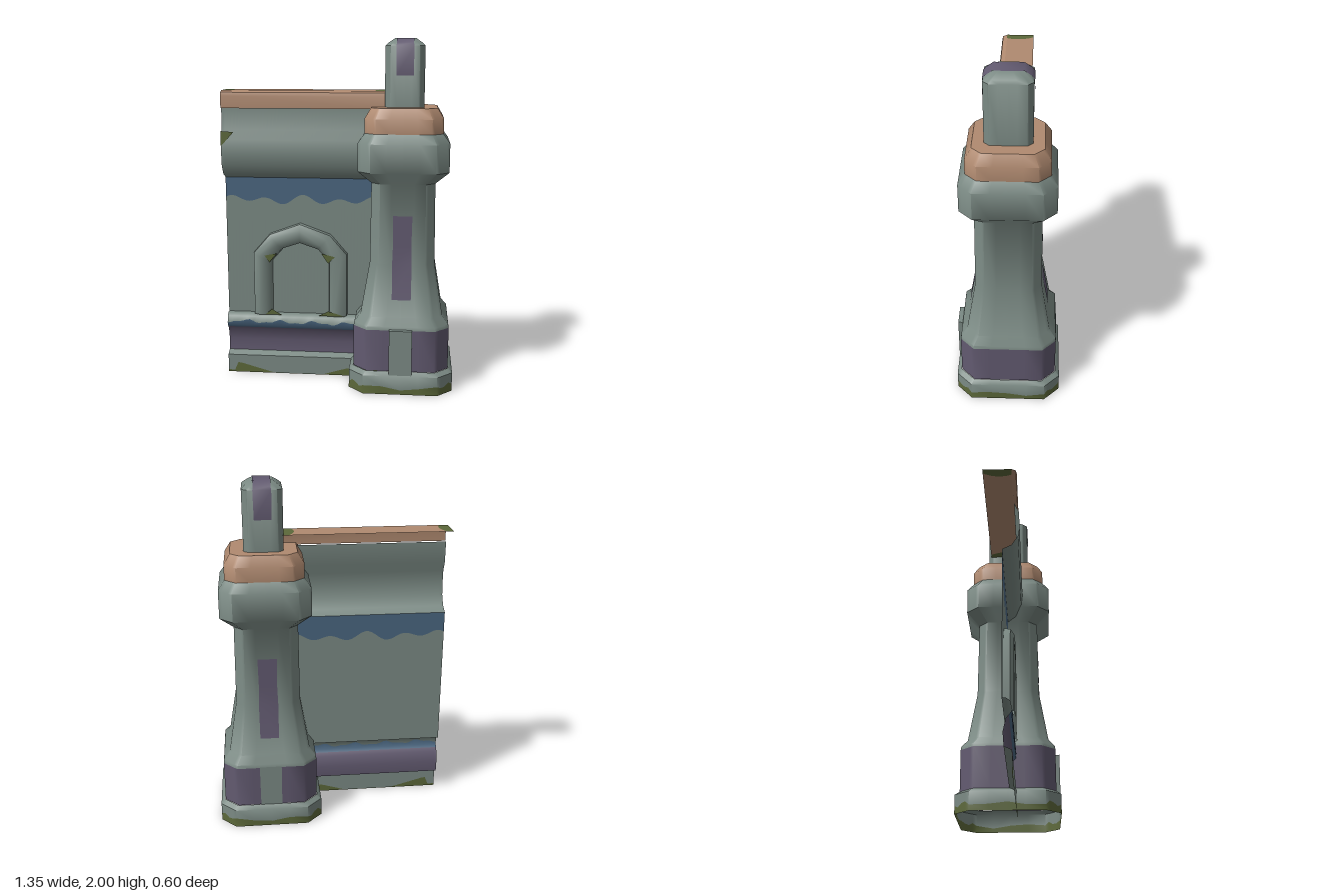
import * as THREE from 'three';
import { toCreasedNormals } from 'three/addons/utils/BufferGeometryUtils.js';

const mat = (name, color) => new THREE.MeshStandardMaterial({ name, color, side: THREE.DoubleSide });

export function createModel() {
  const stone = mat('grey stone', 0x7b8a84);
  const clay = mat('clay', 0xb08a70);
  const purple = mat('purple stone', 0x625a70);
  const blue = mat('blue stain', 0x4a6680);
  const moss = mat('moss', 0x5c683a);
  const model = new THREE.Group();
  model.name = 'wallWithPillar';

  const add = (parent, name, geometry, material) => {
    const mesh = new THREE.Mesh(geometry, material);
    mesh.name = name;
    parent.add(mesh);
    return mesh;
  };

  // Surface through rows of [x, y, z] points
  const loft = (rows, crease = 0.9) => {
    const n = rows[0].length, index = [];
    for (let i = 0; i < rows.length - 1; i++) {
      for (let j = 0; j < n - 1; j++) {
        const a = i * n + j, b = a + n;
        index.push(a, a + 1, b + 1, a, b + 1, b);
      }
    }
    const g = new THREE.BufferGeometry();
    g.setAttribute('position', new THREE.Float32BufferAttribute(rows.flat(2), 3));
    g.setIndex(index);
    return toCreasedNormals(g, crease);
  };

  // ---------- Wall: thin sheet swept along x, profile given as [z, y] ----------
  const wall = new THREE.Group();
  wall.name = 'wall';
  model.add(wall);
  const X0 = -0.675, X1 = 0.27;
  const sweep = (name, material, profile, x0 = X0, x1 = X1, steps = 48) => {
    const rows = [];
    for (let i = 0; i <= steps; i++) {
      const x = x0 + (x1 - x0) * i / steps;
      rows.push(profile(x).map(([z, y]) => [x, y, z]));
    }
    add(wall, name, loft(rows), material);
  };
  // Uneven stain edges
  const blueEdge = x => 1.068 + 0.02 * Math.sin(x * 29 + 1.6) + 0.012 * Math.sin(x * 17 + 5);
  const ledgeEdge = x => 0.326 + 0.009 * Math.sin(x * 31) + 0.005 * Math.sin(x * 67);
  const mossEdge = x => Math.max(0.002,
    x < -0.3 ? Math.min(0.06, 0.06 - (x + 0.6) * 0.28) * (x < -0.63 ? 0.2 : 1) : Math.min(0.045, x * 0.3 + 0.03));

  sweep('wallFootMoss', moss, x => [[0.05, 0], [0.05, mossEdge(x)]]);
  sweep('wallFoot', stone, x => [[0.05, mossEdge(x)], [0.05, 0.11], [0.01, 0.13]]);
  sweep('wallBand', purple, () => [[0.01, 0.13], [0.005, 0.2], [0.02, 0.265], [0.035, 0.285]]);
  sweep('ledgeStain', blue, x => [[0.035, 0.285], [0.048, 0.3], [0.05, ledgeEdge(x)]]);
  sweep('ledge', stone, x => [[0.05, ledgeEdge(x)], [0.042, 0.355], [0.02, 0.37], [0, 0.372]]);
  sweep('wallFace', stone, x => [[0, 0.372], [0, blueEdge(x)]]);
  sweep('wallStain', blue, x => [[0, blueEdge(x)], [0, 1.2]]);
  sweep('wallRoll', stone, () => [[0, 1.2], [0.05, 1.225], [0.085, 1.28], [0.093, 1.35],
    [0.09, 1.43], [0.065, 1.485], [0.06, 1.61]]);
  sweep('copingFront', clay, () => [[0.05, 1.71], [0.075, 1.7], [0.08, 1.68], [0.08, 1.61]], X0, X1, 1);

  // Coping top with curved mossy ends
  const zs = Array.from({ length: 9 }, (_, i) => -0.11 + 0.16 * i / 8);
  const endWidth = z => 0.03 + 0.035 * (1 - ((z + 0.015) / 0.1) ** 2);
  const across = (from, to) => loft(zs.map(z => [[from(z), 1.71, z], [to(z), 1.71, z]]));
  const inLeft = z => X0 + endWidth(z), inRight = z => X1 - endWidth(z);
  add(wall, 'copingTop', across(inLeft, inRight), clay);
  add(wall, 'copingMossOuter', across(() => X0, inLeft), moss);
  add(wall, 'copingMossInner', across(inRight, () => X1), moss);

  // Arched niche frame lofted between its outer and inner outlines
  const outer = [[-0.51, 0.372], [-0.51, 0.75], [-0.41, 0.865], [-0.23, 0.93], [-0.05, 0.865], [0.05, 0.75], [0.05, 0.372]];
  const inner = [[-0.4, 0.372], [-0.4, 0.7], [-0.335, 0.775], [-0.23, 0.81], [-0.125, 0.775], [-0.06, 0.7], [-0.06, 0.372]];
  const section = [[0, 0], [0.02, 0.035], [0.3, 0.055], [0.7, 0.055], [0.95, 0.035], [1, 0]];
  const frame = section.map(([t, z]) => outer.map(([x, y], i) =>
    [x + (inner[i][0] - x) * t, y + (inner[i][1] - y) * t, z]));
  add(wall, 'nicheFrame', loft(frame), stone);

  // Small moss patches
  const patch = (name, points, z) => {
    const g = new THREE.ShapeGeometry(new THREE.Shape(points.map(p => new THREE.Vector2(...p))));
    add(wall, name, g.translate(0, 0, z), moss);
  };
  patch('nicheMoss', [[-0.44, 0.74], [-0.41, 0.7], [-0.365, 0.755]], 0.058);
  patch('nicheMoss', [[-0.1, 0.76], [-0.06, 0.7], [-0.02, 0.74]], 0.058);
  patch('nicheMoss', [[-0.44, 0.375], [-0.34, 0.375], [-0.4, 0.41]], 0.058);
  patch('nicheMoss', [[-0.12, 0.375], [0.04, 0.375], [-0.06, 0.405]], 0.058);
  patch('rollMoss', [[X0, 1.395], [-0.65, 1.42], [-0.6, 1.475], [X0, 1.48]], 0.096);

  // ---------- Pillar: stacked chamfered-square rings, open underneath ----------
  const pillar = new THREE.Group();
  pillar.name = 'pillar';
  pillar.position.x = 0.376;
  model.add(pillar);
  const ring = (hx, hz, c, y, sub = 4) => {
    const quarter = [[hx, hz - c], [hx - c, hz]];
    const corners = [...quarter, ...quarter.map(([x, z]) => [-x, z]).reverse(),
      ...quarter.map(([x, z]) => [-x, -z]), ...quarter.map(([x, z]) => [x, -z]).reverse()];
    const pts = [];
    for (let i = 0; i < 8; i++) {
      const [ax, az] = corners[i], [bx, bz] = corners[(i + 1) % 8];
      for (let k = 0; k < sub; k++) {
        const t = k / sub, j = i * sub + k;
        pts.push([ax + (bx - ax) * t, typeof y === 'function' ? y(j) : y, az + (bz - az) * t]);
      }
    }
    pts.push([...pts[0]]);
    return pts;
  };
  const stack = (name, material, levels) =>
    add(pillar, name, loft(levels.map(([h, y]) => ring(h, h, h * 0.29, y))), material);
  const footEdge = j => 0.043 + 0.012 * Math.sin(j * 1.9) + 0.006 * Math.sin(j * 0.8);
  stack('pillarFootMoss', moss, [[0.299, 0], [0.299, footEdge]]);
  stack('pillarFoot', stone, [[0.299, footEdge], [0.299, 0.11], [0.275, 0.13]]);
  stack('pillarBand', purple, [[0.273, 0.13], [0.273, 0.375]]);
  stack('pillarShaft', stone, [[0.273, 0.375], [0.27, 0.395], [0.235, 0.44], [0.185, 0.74], [0.18, 1.2],
    [0.255, 1.27], [0.255, 1.43], [0.219, 1.482]]);
  stack('pillarCap', clay, [[0.219, 1.482], [0.219, 1.565], [0.185, 1.622], [0.001, 1.625]]);

  // Finial block
  add(pillar, 'finial', loft([[0, 1.6], [0, 1.96], [0.015, 1.975], [0.05, 2]].map(([d, y]) =>
    ring(0.11 - d, 0.125 - d, 0.03, y)).concat([ring(0.001, 0.001, 0.0003, 2)])), stone);

  // Painted strip following points [z, y], with slightly ragged sides
  const strip = (name, material, points, half) => add(pillar, name,
    loft(points.map(([z, y], i) => {
      const w = half + 0.002 * Math.sin(i * 2.3);
      return [[-w, y, z], [w, y, z]];
    })), material);
  for (const s of [1, -1]) {
    strip('shaftStripe', purple, [[0.223, 0.54], [0.188, 0.74], [0.186, 0.85], [0.184, 1.02]]
      .map(([z, y]) => [s * z, y]), 0.054);
  }
  strip('finialStripe', purple, [[0.128, 1.8], [0.128, 1.96], [0.113, 1.977], [0.077, 2.002],
    [-0.077, 2.002], [-0.113, 1.977], [-0.128, 1.96], [-0.128, 1.8]], 0.048);

  // Raised block on the front of the band, flush stripe on the back
  add(pillar, 'bandBlock', new THREE.BoxGeometry(0.13, 0.265, 0.04).translate(0, 0.2475, 0.279), stone);
  strip('bandStripe', stone, [[-0.276, 0.13], [-0.276, 0.38]], 0.062);

  return model;
}
